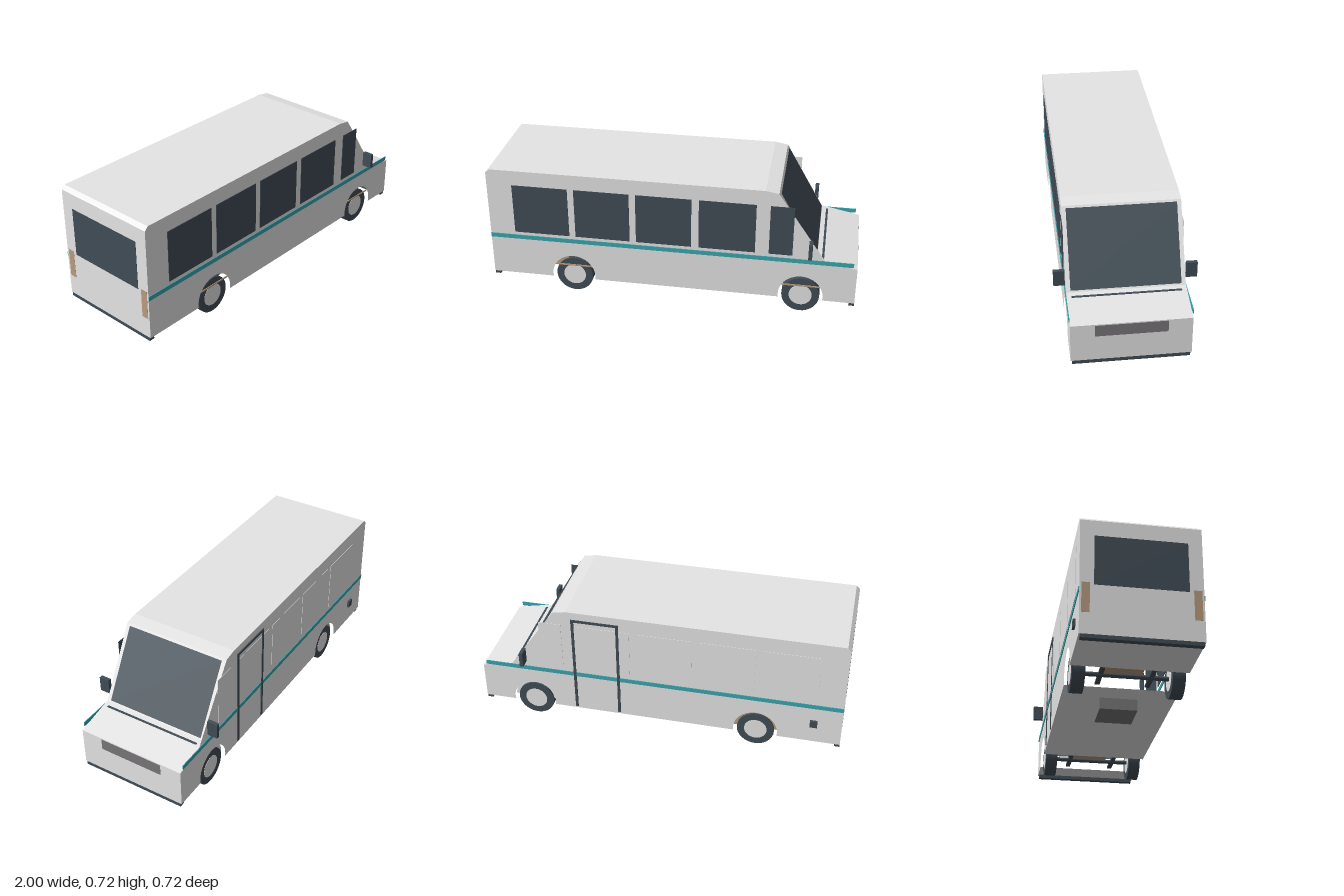
import * as THREE from 'three';

const paint = (name, color) => {
  const m = new THREE.MeshStandardMaterial({ color });
  m.name = name;
  return m;
};

export function createModel() {
  const bus = new THREE.Group();
  bus.name = 'minibus';
  const body = paint('body grey', 0xe5e5e6);
  const dark = paint('dark slate', 0x414d56);
  const grey = paint('mid grey', 0x787678);
  const teal = paint('teal', 0x3ba6ae);
  const tan = paint('tan', 0xb89c7e);
  const W = 0.3, AXLES = [-0.54, 0.71], ARCH = 0.12, ARCH_Y = 0.108, FLOOR = 0.088, HUB_Y = 0.103;

  const add = (name, geo, mat, parent = bus) => {
    const m = new THREE.Mesh(geo, mat);
    m.name = name;
    parent.add(m);
    return m;
  };
  // Box given by its minimum and maximum on each axis
  const box = (name, mat, [x0, x1], [y0, y1], [z0, z1]) => {
    const g = new THREE.BoxGeometry(x1 - x0, y1 - y0, z1 - z0);
    g.translate((x0 + x1) / 2, (y0 + y1) / 2, (z0 + z1) / 2);
    return add(name, g, mat);
  };
  // Sheet swept across the width along a profile of [x, y] points
  const sheet = (name, mat, pts, half = W) => {
    const pos = [];
    for (let i = 0; i + 1 < pts.length; i++) {
      const [a, b] = [pts[i], pts[i + 1]];
      const q = [[...a, half], [...a, -half], [...b, -half], [...b, half]];
      for (const k of [0, 1, 2, 0, 2, 3]) pos.push(...q[k]);
    }
    const g = new THREE.BufferGeometry();
    g.setAttribute('position', new THREE.Float32BufferAttribute(pos, 3));
    g.computeVertexNormals();
    return add(name, g, mat);
  };

  // Side panels with wheel arches
  const side = new THREE.Shape();
  const dip = Math.asin((ARCH_Y - FLOOR) / ARCH);
  side.moveTo(-1, 0.705);
  side.lineTo(-1, FLOOR);
  for (const x of AXLES) side.absarc(x, ARCH_Y, ARCH, Math.PI + dip, -dip, true);
  for (const [x, y] of [[1, FLOOR], [1, 0.3], [0.83, 0.335], [0.57, 0.713], [0.5, 0.725], [-0.98, 0.725]])
    side.lineTo(x, y);
  const leftGeo = new THREE.ShapeGeometry(side, 20);
  leftGeo.translate(0, 0, W);
  const rightGeo = leftGeo.clone();
  rightGeo.scale(1, 1, -1);
  rightGeo.setIndex([...leftGeo.index.array].reverse());
  rightGeo.computeVertexNormals();
  add('leftSide', leftGeo, body);
  add('rightSide', rightGeo, body);

  // Nose, hood, windscreen frame, roof, rear wall and floor
  sheet('noseAndHood', body, [[1, FLOOR], [1, 0.3], [0.83, 0.335], [0.785, 0.342]]);
  sheet('windscreenFrame', body, [[0.785, 0.342], [0.57, 0.713]]);
  sheet('windscreen', dark, [[0.784, 0.352], [0.58, 0.705]], 0.278);
  sheet('roofAndRear', body, [[0.57, 0.713], [0.5, 0.725], [-0.98, 0.725], [-1, 0.705], [-1, FLOOR]]);
  const r = ARCH * Math.cos(dip);
  const stops = [-1, AXLES[0] - r, AXLES[0] + r, AXLES[1] - r, AXLES[1] + r, 1];
  for (let i = 0; i < 6; i += 2) sheet('floor', body, [[stops[i], FLOOR], [stops[i + 1], FLOOR]]);

  // Side windows: glass on the left, closed panels on the right
  for (const [x0, x1] of [[-0.86, -0.555], [-0.52, -0.22], [-0.185, 0.115], [0.155, 0.457], [0.53, 0.655]]) {
    box('sideWindow', dark, [x0, x1], [0.355, 0.64], [W, W + 0.003]);
    box('sidePanel', body, [x0, x1], [0.355, 0.64], [-W - 0.002, -W]);
  }
  // Stripe, mirrors and tail lights on both sides
  for (const s of [1, -1]) {
    const span = (a, b) => (s > 0 ? [a, b] : [-b, -a]);
    box('stripe', teal, [-1, 0.98], [0.312, 0.336], span(W, W + 0.004));
    box('mirror', dark, [0.74, 0.76], [0.37, 0.455], span(0.303, 0.36));
    box('tailLight', tan, [-1.001, -1], [0.2, 0.36], span(0.25, 0.29));
  }

  // Passenger door frame and filler cap on the right side
  for (const x of [0.212, 0.457]) box('doorPost', dark, [x, x + 0.015], [0.1, 0.68], [-W - 0.005, -W]);
  box('doorTop', dark, [0.212, 0.472], [0.668, 0.682], [-W - 0.005, -W]);
  box('fillerCap', dark, [-0.87, -0.83], [0.19, 0.232], [-0.312, -W]);

  // Front and rear fittings
  box('rearWindow', dark, [-1.001, -1], [0.35, 0.62], [-0.23, 0.23]);
  box('grille', grey, [1, 1.001], [0.23, 0.294], [-0.18, 0.18]);
  box('wiperStrip', dark, [0.81, 0.822], [0.333, 0.339], [-0.275, 0.275]);
  box('frontBumper', dark, [0.97, 1], [0.068, FLOOR], [-0.293, 0.293]);
  box('rearBumper', dark, [-1, -0.97], [0.068, FLOOR], [-0.293, 0.293]);
  box('underfloorTank', grey, [-0.31, -0.12], [0.018, 0.08], [-0.1, 0.1]);

  // Wheels and running gear
  const turned = (radius, len) => new THREE.CylinderGeometry(radius, radius, len, 32).rotateX(Math.PI / 2);
  for (const x of AXLES) {
    const gear = new THREE.Group();
    gear.name = 'axleSet';
    gear.position.set(x, HUB_Y, 0);
    bus.add(gear);
    for (const s of [1, -1]) {
      add('tyre', turned(0.102, 0.066), dark, gear).position.z = s * 0.252;
      add('hubcap', turned(0.062, 0.068), body, gear).position.z = s * 0.252;
      add('spring', new THREE.BoxGeometry(0.236, 0.012, 0.025), dark, gear).position.set(0, 0.005, s * 0.13);
    }
    add('axle', turned(0.012, 0.46), dark, gear);
    add('crossPlate', new THREE.BoxGeometry(0.22, 0.012, 0.2), tan, gear).position.y = 0.058;
    add('archBar', new THREE.BoxGeometry(0.22, 0.008, 0.004), tan, gear).position.set(0, 0.06, 0.288);
  }

  // Arch linings facing outward: plain at the front, tan at the rear
  AXLES.forEach((x, i) => {
    const lining = new THREE.CircleGeometry(ARCH, 24, 0, Math.PI).rotateY(Math.PI);
    add('archLining', lining, i ? body : tan).position.set(x, ARCH_Y, -0.275);
  });
  const corner = new THREE.CircleGeometry(ARCH, 10, Math.PI * 0.6, Math.PI * 0.26);
  add('archLiningCorner', corner, tan).position.set(AXLES[0], ARCH_Y, 0.275);
  return bus;
}
